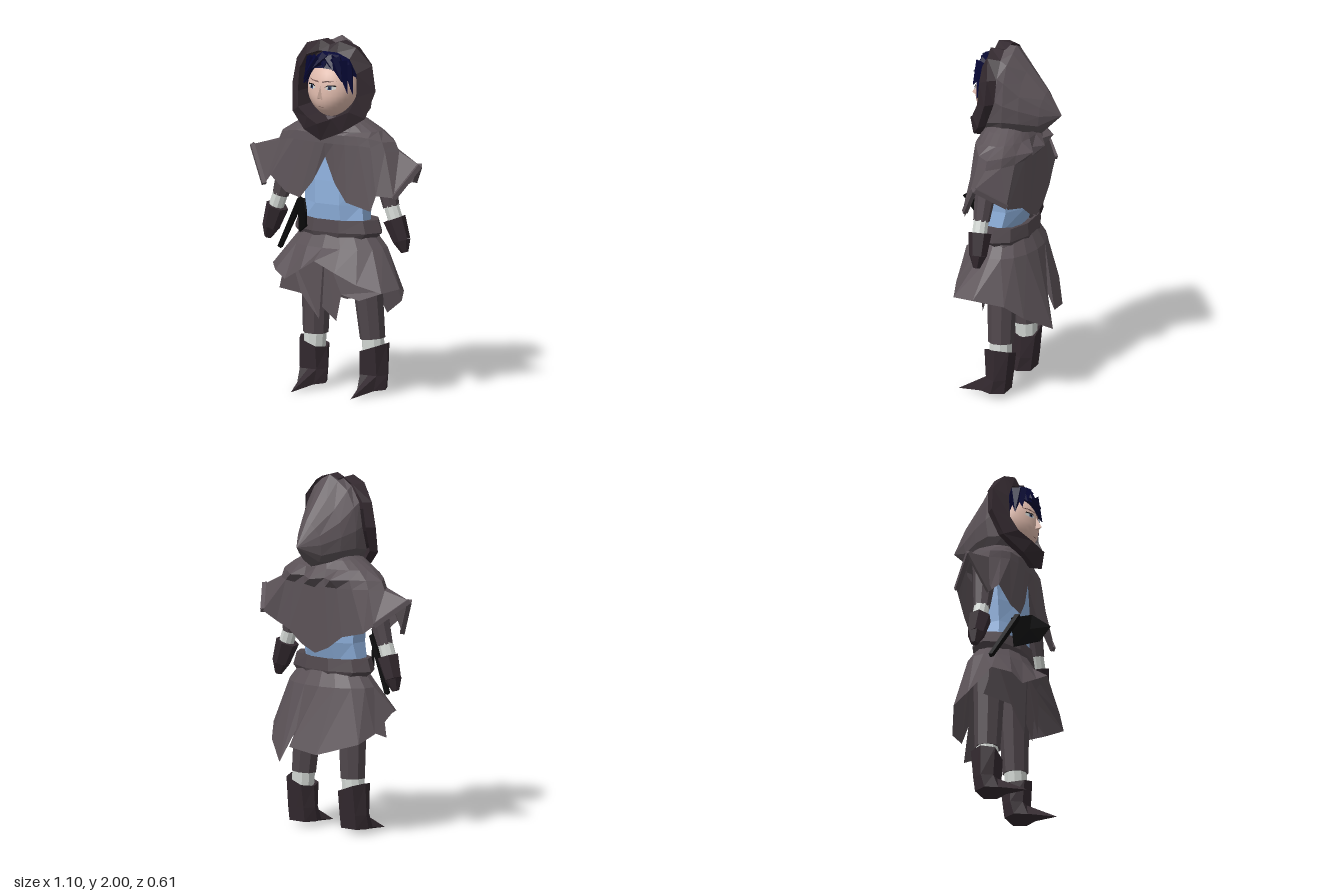
import * as THREE from 'three';

const mat = (name, color, side = THREE.DoubleSide) => {
  const m = new THREE.MeshStandardMaterial({ color, side });
  m.name = name;
  return m;
};

// Mirrors a half outline (first and last points on x = 0) into a full loop.
const full = (half) => [...half, ...half.slice(1, -1).reverse().map(([x, y, z]) => [-x, y, z])];

// Elliptical loop at height y, starting at the front and turning towards +x.
const oval = (cx, y, cz, rx, rz, n = 8) => Array.from({ length: n }, (_, i) => {
  const a = (i + 0.5) / n * Math.PI * 2;
  return [cx + rx * Math.sin(a), y, cz + rz * Math.cos(a)];
});

// Faceted skin through equal-length loops, with optional end points.
function loft(rings, startTip, endTip) {
  const p = [], n = rings[0].length;
  const tri = (...t) => t.forEach((v) => p.push(...v));
  for (let i = 0; i < n; i++) {
    const j = (i + 1) % n, last = rings.at(-1);
    if (startTip) tri(startTip, rings[0][i], rings[0][j]);
    for (let k = 0; k + 1 < rings.length; k++) {
      const a = rings[k], b = rings[k + 1];
      tri(a[i], b[i], a[j]);
      tri(a[j], b[i], b[j]);
    }
    if (endTip) tri(last[i], endTip, last[j]);
  }
  const g = new THREE.BufferGeometry();
  g.setAttribute('position', new THREE.Float32BufferAttribute(p, 3));
  g.computeVertexNormals();
  return g;
}

export function createModel() {
  const model = new THREE.Group();
  const cloak = mat('cloak grey', 0x5c5358), trim = mat('dark leather', 0x33292f);
  const cloth = mat('trouser grey', 0x50474c), blue = mat('shirt blue', 0x8eb0dc);
  const wrap = mat('wrap white', 0xd3d8d4), black = mat('scabbard black', 0x0a0a0b);
  const navy = mat('hair navy', 0x060735), skin = mat('skin', 0xe0bbad);
  const iris = mat('iris blue', 0x35497f), brown = mat('brow brown', 0x7a5a54);

  const add = (name, geo, material) => {
    const m = new THREE.Mesh(geo, material);
    m.name = name;
    model.add(m);
    return m;
  };
  // Tapered faceted bar between two points
  const bar = (name, a, b, r0, r1, material, sides = 8, flat = 1) => {
    const A = new THREE.Vector3(...a), B = new THREE.Vector3(...b), d = B.clone().sub(A);
    const g = new THREE.CylinderGeometry(r1, r0, d.length(), sides).toNonIndexed();
    g.scale(1, 1, flat);
    g.computeVertexNormals();
    const m = add(name, g, material);
    m.quaternion.setFromUnitVectors(new THREE.Vector3(0, 1, 0), d.normalize());
    m.position.copy(A.add(B).multiplyScalar(0.5));
  };

  // Hood: dark rim, dark lining and pointed cloth back
  const rimOuter = full([[0, 1.965, .1], [.06, 1.99, .1], [.16, 1.96, .08], [.245, 1.86, .05],
    [.27, 1.72, .055], [.235, 1.57, .11], [.12, 1.49, .18], [0, 1.44, .2]]);
  const rimInner = full([[0, 1.93, .12], [.06, 1.93, .12], [.14, 1.9, .12], [.185, 1.82, .12],
    [.19, 1.69, .13], [.165, 1.61, .17], [.08, 1.57, .215], [0, 1.54, .24]]);
  const rimBack = full([[0, 1.965, .035], [.06, 1.985, .02], [.14, 1.95, .01], [.215, 1.86, .005],
    [.23, 1.72, .015], [.21, 1.58, .07], [.11, 1.5, .13], [0, 1.45, .16]]);
  const lining = rimInner.map(([x, y]) => [x * .95, 1.73 + (y - 1.73) * .95, .02]);
  add('hoodRim', loft([rimBack, rimOuter, rimInner, lining], null, [0, 1.73, 0]), trim);
  add('hood', loft([
    rimBack.map(([x, y, z]) => [x * .85, 1.73 + (y - 1.73) * .97, z + .01]),
    full([[0, 2, -.03], [.06, 1.97, -.03], [.125, 1.92, -.02], [.175, 1.83, -.02],
      [.19, 1.7, -.02], [.18, 1.6, -.01], [.14, 1.54, 0], [0, 1.51, 0]]),
    full([[0, 1.9, -.11], [.05, 1.87, -.11], [.1, 1.82, -.1], [.14, 1.75, -.1],
      [.155, 1.67, -.1], [.145, 1.59, -.1], [.1, 1.53, -.1], [0, 1.5, -.11]]),
    full([[0, 1.76, -.22], [.03, 1.745, -.215], [.055, 1.72, -.21], [.08, 1.68, -.2],
      [.09, 1.63, -.2], [.085, 1.57, -.19], [.06, 1.53, -.18], [0, 1.5, -.18]]),
  ], null, [0, 1.62, -.3]), cloak);

  // Head with narrowing jaw and forward chin
  const jaw = (y) => 1 - 11 * Math.max(0, 1.72 - y) ** 2;
  const faceZ = (y, dz) => .07 + (.133 + .15 * Math.max(0, 1.72 - y)) * dz;
  const head = new THREE.SphereGeometry(1, 28, 20), hp = head.attributes.position;
  for (let i = 0; i < hp.count; i++) {
    const y = 1.72 + .16 * hp.getY(i);
    hp.setXYZ(i, .14 * jaw(y) * hp.getX(i), y, faceZ(y, hp.getZ(i)));
  }
  head.computeVertexNormals();
  add('head', head, skin);
  add('nose', loft([[[0, 1.75, .2], [-.018, 1.672, .195], [.018, 1.672, .195]]], [0, 1.685, .236],
    [0, 1.67, .18]), skin);

  // Thin face details laid on the head surface
  const onFace = (name, pts, material, lift) => {
    const g = new THREE.ShapeGeometry(new THREE.Shape(pts.map((q) => new THREE.Vector2(...q))));
    const p = g.attributes.position;
    for (let i = 0; i < p.count; i++) {
      const y = p.getY(i), x = p.getX(i) / (.14 * jaw(y));
      p.setZ(i, faceZ(y, Math.sqrt(Math.max(0, 1 - x * x - ((y - 1.72) / .16) ** 2))) + lift);
    }
    g.computeVertexNormals();
    add(name, g, material);
  };
  for (const s of [1, -1]) {
    const side = (pts) => pts.map(([x, y]) => [x * s, y]);
    onFace('eyeWhite', side([[.03, 1.735], [.055, 1.727], [.088, 1.735], [.085, 1.75], [.045, 1.75]]), wrap, .005);
    onFace('iris', side([[.048, 1.729], [.068, 1.73], [.068, 1.749], [.048, 1.749]]), iris, .007);
    onFace('pupil', side([[.053, 1.734], [.063, 1.734], [.063, 1.746], [.053, 1.746]]), black, .008);
    onFace('upperLid', side([[.028, 1.742], [.05, 1.75], [.09, 1.748], [.085, 1.756], [.045, 1.756]]), black, .008);
    onFace('brow', side([[.012, 1.767], [.06, 1.773], [.1, 1.78], [.06, 1.781], [.012, 1.775]]), brown, .006);
  }
  onFace('mouth', [[-.02, 1.628], [0, 1.626], [.02, 1.628], [0, 1.63]], brown, .005);

  // Hair: cap and locks parted over the forehead
  const cap = new THREE.SphereGeometry(1, 12, 7, 0, Math.PI * 2, 0, Math.PI * .5).toNonIndexed();
  cap.scale(.15, .15, .14).rotateX(-.45).translate(0, 1.785, .055);
  cap.computeVertexNormals();
  add('hairCap', cap, navy);
  [[-.09, 1.88, .12, -.145, 1.74, .14, .05], [-.07, 1.89, .14, -.125, 1.77, .175, .045],
    [-.04, 1.89, .15, -.1, 1.81, .195, .045], [0, 1.9, .14, -.05, 1.845, .2, .045],
    [-.01, 1.9, .14, .015, 1.85, .195, .035], [.03, 1.89, .14, .08, 1.84, .195, .045],
    [.06, 1.89, .14, .125, 1.78, .18, .05], [.09, 1.88, .12, .145, 1.71, .15, .05],
    [.11, 1.86, .1, .15, 1.7, .1, .04], [-.11, 1.86, .1, -.15, 1.73, .1, .04]].forEach(([a, b, c, d, e, f, r]) =>
    bar('hairLock', [a, b, c], [d, e, f], r, .002, navy, 5, .8));

  // Shoulder cape with ragged hem and bunched cloth below the hood
  const hemL = [[0, 1.34, .15], [.07, 1.2, .165], [.15, 1.1, .175], [.3, 1.06, .16], [.33, 1.15, .15],
    [.42, 1.14, .11], [.53, 1.32, .01], [.41, 1.2, -.135], [.33, 1.15, -.11], [.2, 1.12, -.145],
    [.1, 1.05, -.15], [0, 1.01, -.15]];
  const hemR = hemL.map(([x, y, z]) => [-x, y, z]);
  hemR[3] = [-.25, 1.12, .16];
  hemR[4] = [-.36, 1.2, .14];
  hemR[6] = [-.54, 1.34, .04];
  hemR[7] = [-.4, 1.2, -.1];
  const hem = [...hemL, ...hemR.slice(1, -1).reverse()];
  const shoulder = full([[0, 1.42, .16], [.06, 1.42, .16], [.13, 1.42, .155], [.21, 1.42, .14],
    [.27, 1.41, .11], [.34, 1.39, .07], [.39, 1.385, 0], [.33, 1.39, -.07], [.25, 1.39, -.12],
    [.16, 1.39, -.145], [.08, 1.39, -.155], [0, 1.38, -.155]]);
  const shell = (y, rx, rz, cz) => shoulder.map((_, i) => {
    const a = i / shoulder.length * Math.PI * 2;
    return [rx * Math.sin(a), y, cz + rz * Math.cos(a)];
  });
  const bunched = shoulder.map(([x, y, z], i) => [x * .94, y + .05, z < -.1 ? z - .045 * (i % 2) : z * .97]);
  add('cape', loft([shell(1.56, .14, .09, 0), shell(1.535, .19, .13, .01), shell(1.49, .275, .15, .005),
    bunched, shoulder, hem]), cloak);
  // Folded edges on the shoulder flaps
  for (const h of [hemL, hemR]) for (const i of [5, 6])
    bar('capeFold', h[i], h[i + 1], .018, .018, cloak, 4);

  // Shirt, belt and scabbard
  add('shirt', loft([oval(0, 1.42, 0, .22, .12), oval(0, 1.2, .01, .21, .125), oval(0, 1.07, .01, .2, .13),
    oval(0, .95, .025, .215, .1)], [0, 1.44, 0], [0, .95, 0]), blue);
  add('belt', loft([oval(0, .98, .005, .2, .12, 10), oval(0, .985, .005, .255, .14, 10),
    oval(0, .915, .005, .28, .15, 10), oval(0, .87, .005, .23, .14, 10)]), cloth);
  const guard = [[-.025, 1.05, .3], [-.09, 1.11, .215], [-.18, 1.07, .13], [-.165, .9, .14], [-.055, .96, .25]];
  add('guard', loft([guard, guard.map(([x, y, z]) => [x - .008, y, z + .006])],
    [-.1, 1.02, .208], [-.108, 1.02, .214]), black);
  bar('scabbard', [-.15, 1.09, .16], [-.335, .79, .08], .022, .016, black, 4);

  // Skirt: flared upper layer, split at the back, and ragged front panels
  const skirtHem = [[0, .77, .27], [.12, .71, .25], [.25, .65, .23], [.39, .61, .19], [.43, .62, .06],
    [.36, .58, -.1], [.29, .5, -.19], [.13, .4, -.3], [.06, .58, -.24], [.07, .49, -.285],
    [-.11, .46, -.26], [-.33, .53, -.15], [-.36, .58, -.05], [-.37, .7, .1], [-.3, .68, .19],
    [-.22, .64, .22], [-.1, .71, .25]];
  const skirtRing = (y, rx, rz) => skirtHem.map((_, i) => {
    const a = i / skirtHem.length * Math.PI * 2;
    return [rx * Math.sin(a), y, rz * Math.cos(a)];
  });
  add('skirt', loft([skirtRing(.93, .21, .13), skirtRing(.83, .295, .18), skirtHem]), cloak);
  for (const pts of [
    [[-.28, .8], [-.36, .55], [-.17, .55], [-.04, .42], [-.01, .8]],
    [[0, .8], [-.02, .49], [.07, .42], [.1, .57], [.2, .54], [.36, .6], [.28, .8]]]) {
    const g = new THREE.ShapeGeometry(new THREE.Shape(pts.map((q) => new THREE.Vector2(...q)))).toNonIndexed();
    const p = g.attributes.position;
    for (let i = 0; i < p.count; i++) p.setZ(i, .15 - .8 * p.getX(i) ** 2);
    g.computeVertexNormals();
    add('skirtPanel', g, cloak);
  }

  // Legs, ankle wraps, boots with slanted tops, arms, wrist wraps and gauntlets
  for (const s of [1, -1]) {
    const foot = s > 0 ? .215 : -.175;
    bar('trouserLeg', [s * .15, .88, -.01], [foot - .01 * s, .31, -.02], .095, .072, cloth);
    bar('ankleWrap', [foot - .01 * s, .33, -.02], [foot, .2, -.02], .064, .064, wrap, 10);
    const boot = (y, rx, front, back, toeY = y, toeZ = front, slant = 0) => full([[0, toeY, toeZ],
      [.6 * rx, y, front], [rx, y, (front + back) / 2], [.65 * rx, y, back], [0, y, back]])
      .map(([x, h, z]) => [x + foot, h + slant * s * x, z]);
    add('boot', loft([boot(.26, .085, .055, -.092, .26, .055, .35), boot(.11, .09, .045, -.075),
      boot(.03, .088, .075, -.065, .005, .23)], [foot, .22, -.02], [foot, .015, 0]), trim);

    bar('sleeve', [s * .27, 1.4, .02], [s * .36, 1.075, .035], .075, .046, cloth);
    bar('wristWrap', [s * .355, 1.095, .035], [s * .39, 1, .035], .043, .043, wrap, 10);
    bar('gauntlet', [s * .38, 1.01, .035], [s * .425, .89, .03], .065, .05, trim, 6);
    bar('hand', [s * .425, .89, .03], [s * .445, .825, .03], .05, .02, trim, 6);
  }
  return model;
}
